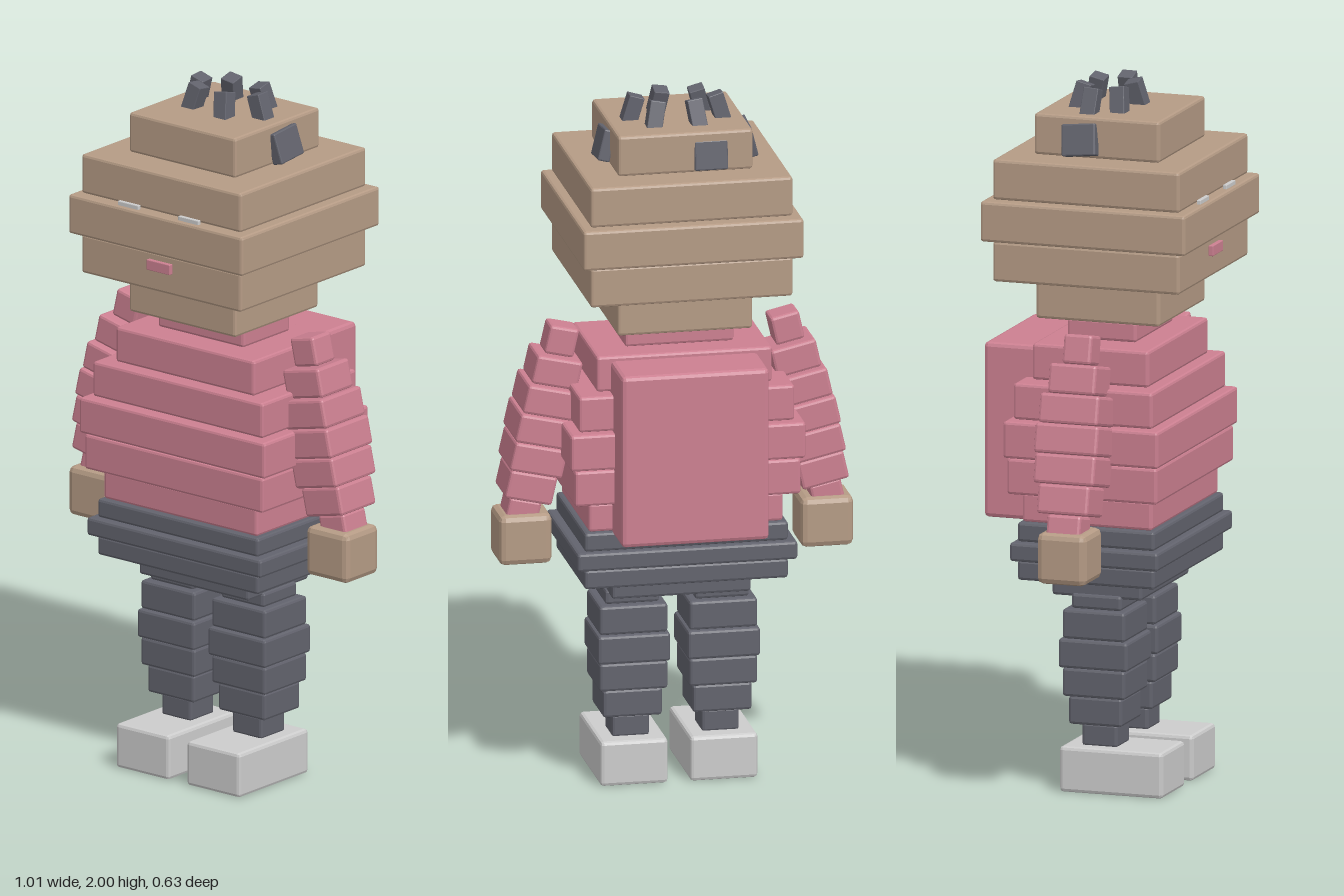
import * as THREE from 'three';
import { RoundedBoxGeometry } from 'three/addons/geometries/RoundedBoxGeometry.js';

function mat(name, color) {
  const m = new THREE.MeshStandardMaterial({ color });
  m.name = name;
  return m;
}

export function createModel() {
  const model = new THREE.Group();
  model.name = 'blockFigure';
  const skin = mat('skin', 0xb59b85);
  const pink = mat('pink', 0xcc8091);
  const dark = mat('charcoal', 0x62636d);
  const pale = mat('paleGrey', 0xcccccc);

  // Block with small flat chamfers
  function block(parent, name, material, size, pos, bevel = 0.008) {
    const geo = new RoundedBoxGeometry(size[0], size[1], size[2], 1, bevel);
    geo.computeVertexNormals();
    const mesh = new THREE.Mesh(geo, material);
    mesh.name = name;
    mesh.position.set(...pos);
    parent.add(mesh);
    return mesh;
  }

  // Stack of slabs, each row: bottom y, top y, half width, back z, front z
  function stack(name, material, rows, x = 0) {
    const group = new THREE.Group();
    group.name = name;
    rows.forEach(([y0, y1, hw, z0, z1], i) => {
      block(group, name + 'Slab' + (i + 1), material,
        [hw * 2, y1 - y0, z1 - z0], [x, (y0 + y1) / 2, (z0 + z1) / 2]);
    });
    model.add(group);
    return group;
  }

  stack('head', skin, [
    [1.345, 1.46, 0.192, -0.17, 0.197],
    [1.462, 1.577, 0.288, -0.264, 0.29],
    [1.579, 1.694, 0.314, -0.292, 0.316],
    [1.696, 1.811, 0.288, -0.264, 0.29],
    [1.813, 1.93, 0.192, -0.175, 0.197],
  ]);

  stack('sweater', pink, [
    [0.78, 0.863, 0.277, -0.18, 0.205],
    [0.865, 0.968, 0.322, -0.21, 0.235],
    [0.97, 1.075, 0.335, -0.217, 0.243],
    [1.077, 1.18, 0.307, -0.196, 0.217],
    [1.182, 1.285, 0.25, -0.16, 0.185],
    [1.287, 1.345, 0.155, -0.09, 0.115],
  ]);
  block(model, 'backpack', pink, [0.42, 0.5, 0.2], [0, 1.02, -0.218], 0.012);

  stack('hips', dark, [
    [0.56, 0.615, 0.198, -0.12, 0.147],
    [0.615, 0.672, 0.29, -0.19, 0.217],
    [0.672, 0.725, 0.314, -0.205, 0.235],
    [0.725, 0.78, 0.29, -0.19, 0.217],
  ]);

  for (const s of [-1, 1]) {
    const side = s > 0 ? 'left' : 'right';

    stack(side + 'Leg', dark, [
      [0.13, 0.197, 0.053, -0.037, 0.068],
      [0.197, 0.278, 0.084, -0.066, 0.092],
      [0.278, 0.36, 0.097, -0.08, 0.106],
      [0.36, 0.443, 0.103, -0.09, 0.115],
      [0.443, 0.527, 0.097, -0.08, 0.106],
      [0.527, 0.57, 0.077, -0.06, 0.088],
    ], s * 0.128);
    block(model, side + 'Shoe', pale, [0.192, 0.13, 0.306], [s * 0.128, 0.069, 0.064], 0.01);

    // Arm slabs threaded on a tilted axis: half width, half depth
    const arm = new THREE.Group();
    arm.name = side + 'Arm';
    arm.position.set(s * 0.312, 1.335, 0.013);
    arm.rotation.z = s * 0.225;
    const slabs = [[0.042, 0.042], [0.066, 0.07], [0.076, 0.088],
      [0.08, 0.094], [0.076, 0.09], [0.068, 0.076], [0.046, 0.05]];
    slabs.forEach(([hw, hd], i) => {
      block(arm, side + 'ArmSlab' + (i + 1), pink,
        [hw * 2, 0.083, hd * 2], [0, -0.042 - i * 0.0845, 0]);
    });
    model.add(arm);
    block(model, side + 'Hand', skin, [0.15, 0.145, 0.145], [s * 0.43, 0.728, 0.015], 0.017);

    // Eye peeking over the widest head slab
    block(model, side + 'Eye', pale, [0.074, 0.03, 0.012], [s * 0.109, 1.691, 0.297], 0.002);
  }
  block(model, 'mouth', pink, [0.084, 0.03, 0.014], [0, 1.54, 0.296], 0.002);

  // Hair tufts on the crown, leaning inward: x, z
  const tufts = [[-0.05, -0.085], [0.068, -0.08], [0.12, -0.005],
    [0.034, 0.052], [-0.083, 0.04], [-0.125, -0.03]];
  tufts.forEach(([x, z], i) => {
    const tuft = block(model, 'hairTuft' + (i + 1), dark, [0.044, 0.09, 0.044], [x, 1.953, z], 0.002);
    const r = Math.hypot(x, z);
    tuft.rotation.set(-z / r * 0.3, 0, x / r * 0.3);
  });

  // Hair tufts on the sides and back of the crown
  const leftLock = block(model, 'leftHairLock', dark, [0.035, 0.09, 0.1], [0.2, 1.865, -0.012], 0.004);
  leftLock.rotation.set(0.1, 0, 0.26);
  const rightLock = block(model, 'rightHairLock', dark, [0.035, 0.09, 0.1], [-0.2, 1.865, -0.035], 0.004);
  rightLock.rotation.set(-0.1, 0, -0.26);
  const backLock = block(model, 'backHairLock', dark, [0.095, 0.085, 0.035], [-0.073, 1.86, -0.163], 0.004);
  backLock.rotation.x = 0.12;

  return model;
}
